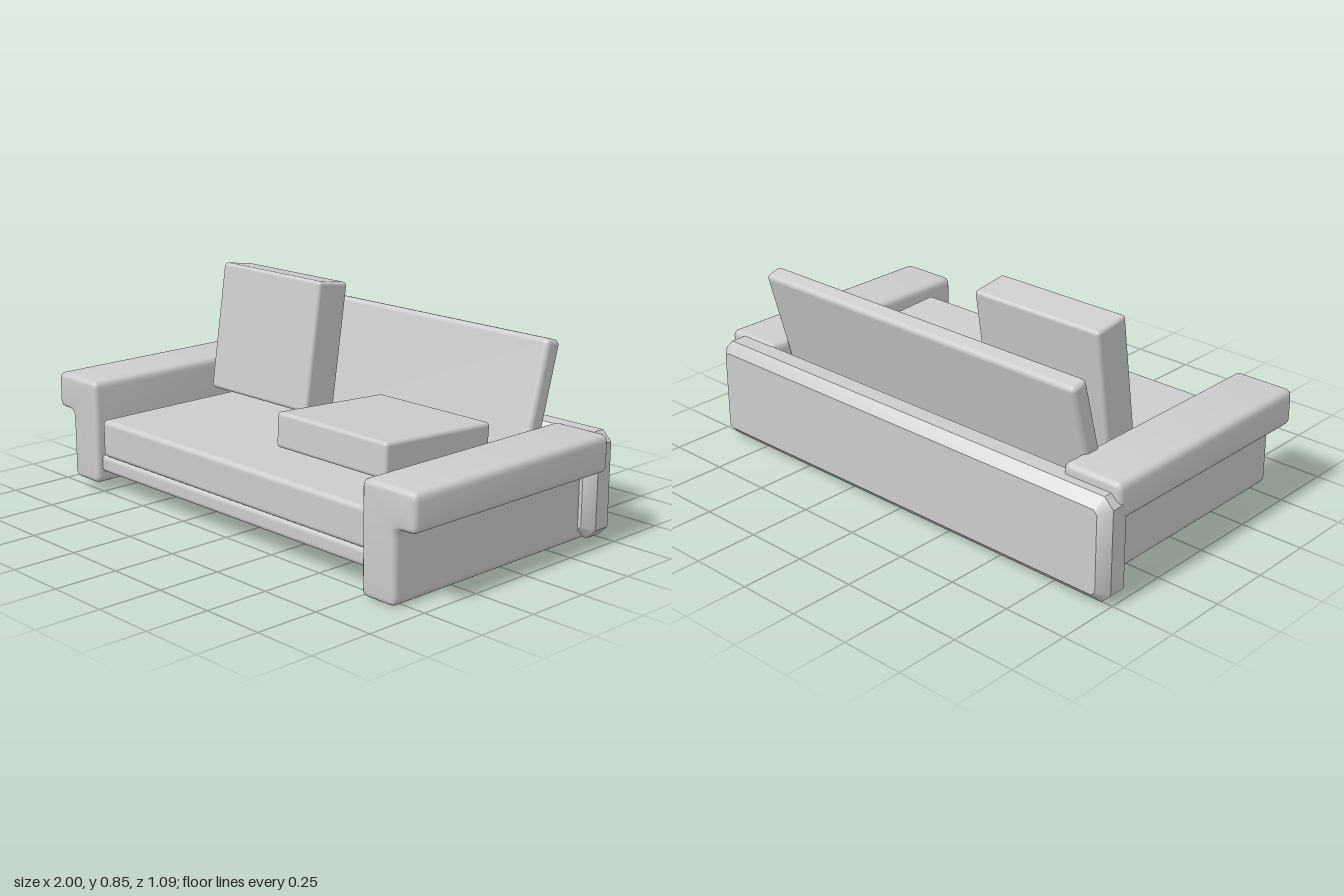
import * as THREE from 'three';
import { RoundedBoxGeometry } from 'three/addons/geometries/RoundedBoxGeometry.js';
import { toCreasedNormals } from 'three/addons/utils/BufferGeometryUtils.js';

const material = new THREE.MeshStandardMaterial({ color: 0xcccccc });

function add(parent, name, geometry, x, y, z, tilt = 0) {
  const mesh = new THREE.Mesh(geometry, material);
  mesh.name = name;
  mesh.position.set(x, y, z);
  mesh.rotation.x = tilt;
  parent.add(mesh);
  return mesh;
}

const cushion = (w, h, d, r = 0.02) => new RoundedBoxGeometry(w, h, d, 4, r);

// Outline whose corners [x, y, radius] are rounded
function roundedOutline(corners) {
  const shape = new THREE.Shape();
  const n = corners.length;
  corners.forEach(([x, y, r], i) => {
    const toward = ([px, py]) => {
      const d = Math.hypot(px - x, py - y);
      return [x + (px - x) * r / d, y + (py - y) * r / d];
    };
    const a = toward(corners[(i + n - 1) % n]);
    const b = toward(corners[(i + 1) % n]);
    if (i === 0) shape.moveTo(...a);
    else shape.lineTo(...a);
    shape.quadraticCurveTo(x, y, ...b);
  });
  shape.closePath();
  return shape;
}

// Extrusion along z, centred, with its bevel kept inside the outline
function extrude(shape, depth, bevel, bevelSegments) {
  const geometry = new THREE.ExtrudeGeometry(shape, {
    depth: depth - 2 * bevel, curveSegments: 5, bevelEnabled: true,
    bevelThickness: bevel, bevelSize: bevel, bevelOffset: -bevel, bevelSegments,
  });
  geometry.translate(0, 0, bevel - depth / 2);
  return toCreasedNormals(geometry, 0.6);
}

// Arm section: a post with a wide top overhanging on the outer side
function armGeometry(side, depth) {
  const corners = [
    [0, 0, 0.03], [0.157, 0, 0.03], [0.157, 0.272, 0.03],
    [0.247, 0.272, 0.03], [0.247, 0.415, 0.03], [0, 0.415, 0.03],
  ].map(([x, y, r]) => [side * x, y, r]);
  if (side < 0) corners.reverse();
  return extrude(roundedOutline(corners), depth, 0.02, 4);
}

// Panel with every edge cut at 45 degrees
function chamferedPanel(w, h, d, c) {
  const x = w / 2, y = h / 2;
  const shape = new THREE.Shape([
    [-x + c, -y], [x - c, -y], [x, -y + c], [x, y - c],
    [x - c, y], [-x + c, y], [-x, y - c], [-x, -y + c],
  ].map((p) => new THREE.Vector2(...p)));
  return extrude(shape, d, c, 1);
}

export function createModel() {
  const sofa = new THREE.Group();
  sofa.name = 'sofa';

  // Frame
  add(sofa, 'backPanel', chamferedPanel(1.96, 0.4, 0.145, 0.038), -0.02, 0.21, -0.476);
  add(sofa, 'base', cushion(1.52, 0.07, 0.71), 0, 0.12, 0.15);

  // Arms, the right one sitting slightly higher and further back
  add(sofa, 'leftArm', armGeometry(1, 0.995), 0.75, 0.004, 0.048);
  add(sofa, 'rightArm', armGeometry(-1, 1.0), -0.753, 0.037, 0.024);

  // Seat and leaning backrest, which reaches down behind the seat
  add(sofa, 'seatCushion', cushion(1.49, 0.15, 0.745), 0.015, 0.23, 0.142);
  add(sofa, 'backrest', cushion(1.535, 0.68, 0.075), -0.0125, 0.4, -0.336, -0.27);

  // Loose pillows
  add(sofa, 'standingPillow', cushion(0.57, 0.515, 0.152, 0.015), -0.425, 0.59, -0.139, -0.152);
  add(sofa, 'lyingPillow', cushion(0.565, 0.135, 0.54, 0.015), 0.3275, 0.37, 0.02, -0.055);

  return sofa;
}
